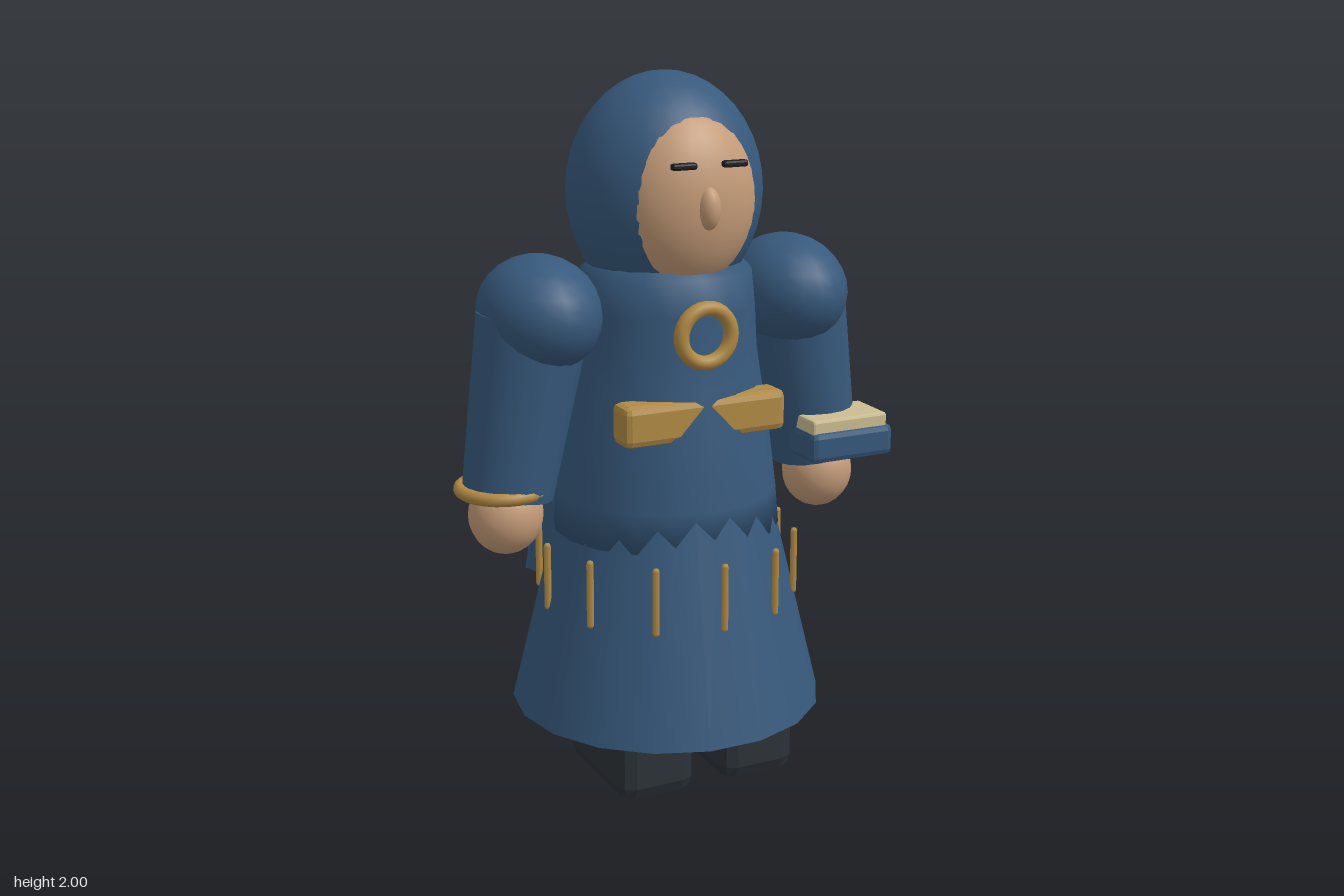
import * as THREE from 'three';
import { RoundedBoxGeometry } from 'three/addons/geometries/RoundedBoxGeometry.js';

const mat = (name, color, side = THREE.FrontSide) => {
  const m = new THREE.MeshStandardMaterial({ color, side });
  m.name = name;
  return m;
};

export function createModel() {
  const model = new THREE.Group();
  model.name = 'robedFigure';

  const blue = mat('robe blue', 0x37597c, THREE.DoubleSide);
  const gold = mat('gold', 0xb08a45);
  const skin = mat('skin', 0xc59c79);
  const dark = mat('boot charcoal', 0x2c3238);
  const black = mat('eye black', 0x1d1f25);
  const cream = mat('page cream', 0xcbbd92);

  const add = (name, geometry, material, x = 0, y = 0, z = 0) => {
    const mesh = new THREE.Mesh(geometry, material);
    mesh.name = name;
    mesh.position.set(x, y, z);
    model.add(mesh);
    return mesh;
  };
  const ellipsoid = (rx, ry, rz, w = 28, h = 20) =>
    new THREE.SphereGeometry(1, w, h).scale(rx, ry, rz);
  // Box with a single flat chamfer on every edge
  const chamferBox = (w, h, d, r) => {
    const g = new RoundedBoxGeometry(w, h, d, 1, r);
    g.computeVertexNormals();
    return g;
  };

  // Robe: flared skirt and fitted torso
  add('skirt', new THREE.CylinderGeometry(0.25, 0.45, 0.82, 18).rotateY(Math.PI / 2), blue, 0, 0.605, 0);
  const torsoProfile = [
    [0, 0.72], [0.312, 0.72], [0.303, 0.83], [0.283, 1.0], [0.264, 1.12],
    [0.246, 1.24], [0.24, 1.36], [0.23, 1.46], [0.17, 1.51], [0, 1.52],
  ].map(([r, y]) => new THREE.Vector2(r, y));
  add('torso', new THREE.LatheGeometry(torsoProfile, 18).scale(1.05, 1, 1), blue);

  // Twelve gold bars around the skirt
  for (let i = 0; i < 12; i++) {
    const a = (i / 12) * Math.PI * 2;
    add('skirtBar', new THREE.CapsuleGeometry(0.011, 0.178, 2, 6), gold,
      0.37 * Math.sin(a), 0.605, 0.37 * Math.cos(a));
  }

  // Hooded head
  add('hood', ellipsoid(0.275, 0.325, 0.262), blue, 0, 1.675, -0.01);
  add('face', ellipsoid(0.2, 0.245, 0.15), skin, 0, 1.67, 0.12);
  add('nose', ellipsoid(0.032, 0.058, 0.035, 16, 12), skin, 0, 1.66, 0.26);

  // Chest ring and belt plate
  add('chestRing', new THREE.TorusGeometry(0.075, 0.021, 12, 28), gold, 0, 1.315, 0.25);
  add('beltPlate', chamferBox(0.49, 0.115, 0.098, 0.02), gold, 0, 1.083, 0.213);

  // Paired parts
  for (const s of [-1, 1]) {
    add('eye', chamferBox(0.072, 0.018, 0.024, 0.006), black, s * 0.075, 1.775, 0.262);
    add('shoulder', ellipsoid(0.167, 0.162, 0.21, 20, 14), blue, s * 0.383, 1.364, 0);

    const top = new THREE.Vector3(s * 0.4, 1.35, 0);
    const bottom = new THREE.Vector3(s * 0.485, 0.87, 0);
    const sleeve = add('sleeve', new THREE.CylinderGeometry(0.157, 0.128, top.distanceTo(bottom), 18), blue);
    sleeve.position.addVectors(top, bottom).multiplyScalar(0.5);
    sleeve.quaternion.setFromUnitVectors(new THREE.Vector3(0, 1, 0), top.clone().sub(bottom).normalize());

    add('cuff', new THREE.TorusGeometry(0.118, 0.019, 10, 24).rotateX(Math.PI / 2), gold, s * 0.498, 0.887, 0);
    add('hand', ellipsoid(0.105, 0.112, 0.1, 20, 14), skin, s * 0.495, 0.812, 0.01);
    add('boot', chamferBox(0.234, 0.235, 0.39, 0.045), dark, s * 0.16, 0.1175, 0.1);
  }

  // Pleated cape: a sheet that widens and whose folds deepen toward the hem
  const cape = new THREE.PlaneGeometry(2, 1, 84, 12);
  const p = cape.attributes.position;
  for (let i = 0; i < p.count; i++) {
    const u = p.getX(i);
    const t = 0.5 - p.getY(i);
    const fold = Math.cos(u * Math.PI * 7);
    p.setXYZ(i, u * (0.2 + 0.11 * t), 1.4 - 0.885 * t,
      -0.25 + 0.005 * t + fold * (0.034 + 0.042 * t));
  }
  cape.computeVertexNormals();
  add('cape', cape, blue);

  // Book held at the left wrist
  add('bookCover', chamferBox(0.268, 0.092, 0.17, 0.018), blue, 0.5, 0.934, 0.122);
  add('bookPages', chamferBox(0.245, 0.05, 0.155, 0.008), cream, 0.495, 0.99, 0.118);

  return model;
}
